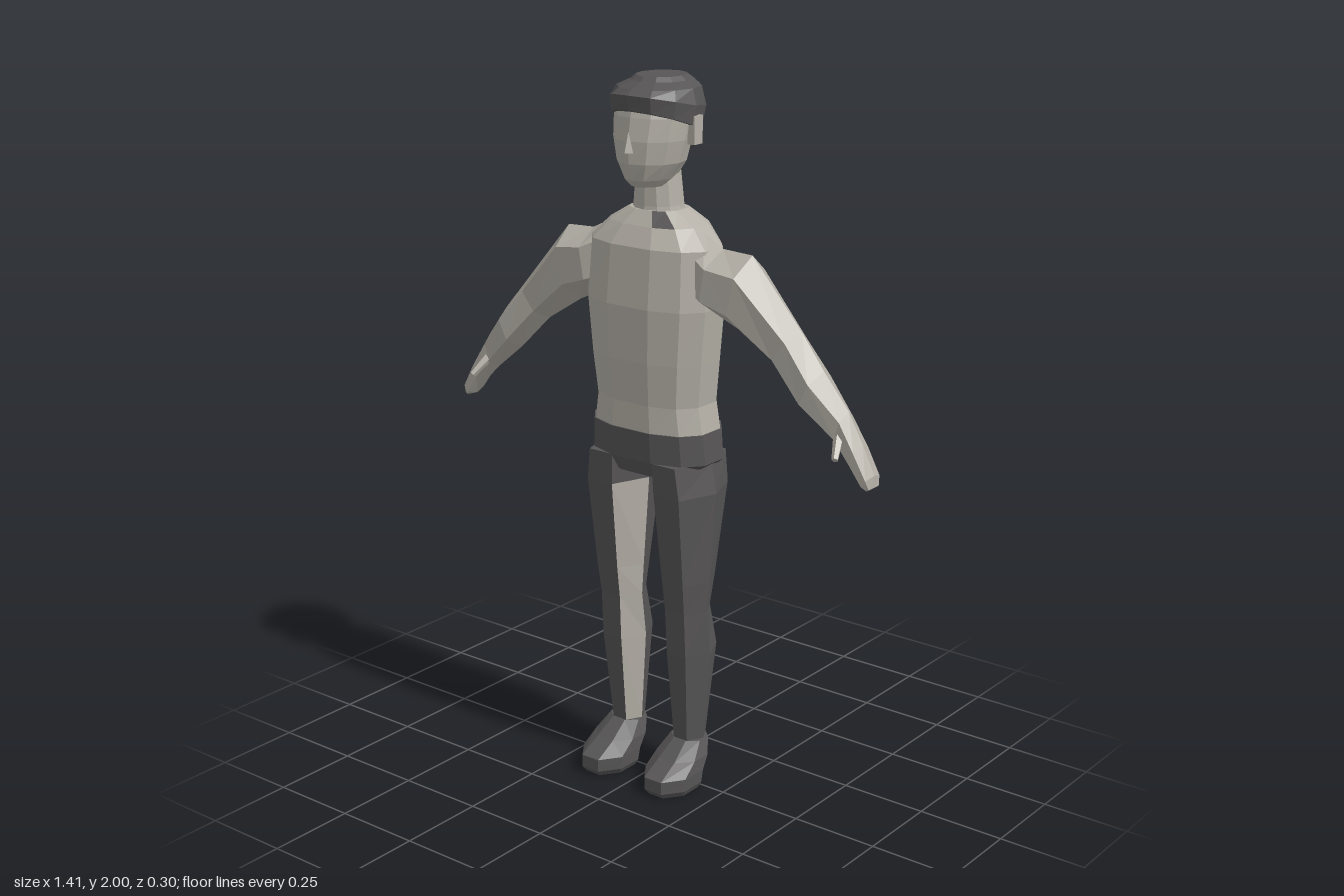
import * as THREE from 'three';

const material = (name, color) => {
  const m = new THREE.MeshStandardMaterial({ color, flatShading: true });
  m.name = name;
  return m;
};

// Unit outline with n corners, stretched to reach 1 on both axes; power < 1 squares it off.
function outline(n, offset, power = 1) {
  const pts = [];
  const bend = (v) => Math.sign(v) * Math.abs(v) ** power;
  for (let j = 0; j < n; j++) {
    const a = offset + (j / n) * Math.PI * 2;
    pts.push([bend(Math.sin(a)), bend(Math.cos(a))]);
  }
  const mx = Math.max(...pts.map((p) => Math.abs(p[0])));
  const mz = Math.max(...pts.map((p) => Math.abs(p[1])));
  return pts.map(([x, z]) => [x / mx, z / mz]);
}

// Level cross-sections from rows of [y, xMin, xMax, zFront, zBack].
const levelRings = (rows, shape, yShift = () => 0) => rows.map(([y, x0, x1, zf, zb], i) =>
  shape.map(([u, v]) => [(x0 + x1) / 2 + (u * (x1 - x0)) / 2, y + yShift(i, v), (zf + zb) / 2 + (v * (zf - zb)) / 2]));

// Sections symmetric about x = 0, from rows of [y, halfWidth, zFront, zBack].
const bodyRings = (rows, shape, yShift) =>
  levelRings(rows.map(([y, r, zf, zb]) => [y, -r, r, zf, zb]), shape, yShift);

// Closed skin over the rings; paint(ring, facet) picks a material, side -1 mirrors in x.
function loft(name, rings, mats, paint = () => 0, side = 1) {
  const lists = mats.map(() => []);
  const tri = (k, a, b, c) => {
    for (const p of side > 0 ? [a, b, c] : [a, c, b]) lists[k].push(p[0] * side, p[1], p[2]);
  };
  const n = rings[0].length;
  const middle = (ring) => [0, 1, 2].map((k) => ring.reduce((s, p) => s + p[k], 0) / n);
  const last = rings.length - 1;
  const bottom = middle(rings[0]), top = middle(rings[last]);
  for (let j = 0; j < n; j++) {
    const j1 = (j + 1) % n;
    for (let i = 0; i < last; i++) {
      const k = paint(i, j);
      tri(k, rings[i][j], rings[i][j1], rings[i + 1][j1]);
      tri(k, rings[i][j], rings[i + 1][j1], rings[i + 1][j]);
    }
    tri(0, bottom, rings[0][j1], rings[0][j]);
    tri(0, top, rings[last][j], rings[last][j1]);
  }
  const g = new THREE.BufferGeometry();
  g.setAttribute('position', new THREE.Float32BufferAttribute(lists.flat(), 3));
  let start = 0;
  lists.forEach((l, k) => {
    g.addGroup(start, l.length / 3, k);
    start += l.length / 3;
  });
  g.computeVertexNormals();
  const mesh = new THREE.Mesh(g, mats.length > 1 ? mats : mats[0]);
  mesh.name = name;
  return mesh;
}

export function createModel() {
  const light = material('light grey', 0xb3afa6);
  const dark = material('dark grey', 0x575555);
  const model = new THREE.Group();
  model.name = 'figure';
  const deg = Math.PI / 180;
  const trunk = outline(12, 15 * deg, 0.8);
  const round = outline(12, 0);

  // Shirt, with a small dark patch beside the collar
  model.add(loft('shirt', bodyRings([
    [1.05, 0.185, 0.1, -0.135], [1.13, 0.172, 0.1, -0.13], [1.25, 0.185, 0.11, -0.13],
    [1.4, 0.2, 0.115, -0.13], [1.56, 0.192, 0.1, -0.125], [1.612, 0.14, 0.07, -0.12],
    [1.65, 0.078, 0.042, -0.09],
  ], trunk), [light, dark], (i, j) => (i === 5 && j === 0 ? 1 : 0)));

  // Hips
  model.add(loft('hips', bodyRings([
    [0.905, 0.05, 0.03, -0.07], [0.925, 0.14, 0.08, -0.125],
    [0.97, 0.194, 0.1, -0.138], [1.055, 0.188, 0.104, -0.139],
  ], trunk), [dark]));

  // Neck and head
  model.add(loft('neck', bodyRings([
    [1.62, 0.08, 0.045, -0.09], [1.66, 0.071, 0.04, -0.085], [1.76, 0.06, 0.04, -0.08],
  ], round), [light]));
  model.add(loft('head', bodyRings([
    [1.715, 0.045, 0.075, -0.05], [1.735, 0.062, 0.094, -0.07], [1.78, 0.092, 0.106, -0.088],
    [1.84, 0.106, 0.108, -0.1], [1.9, 0.112, 0.098, -0.11], [1.95, 0.1, 0.085, -0.11],
  ], round), [light]));
  const nose = new THREE.Mesh(new THREE.ConeGeometry(0.016, 0.055, 4), light);
  nose.name = 'nose';
  nose.position.set(0, 1.838, 0.106);
  model.add(nose);

  // Hair, lower at the back, with a pale crescent at the crown
  const sweep = [[0.02, -0.1], [0.015, -0.03], [0, 0], [0, 0], [0, 0]];
  model.add(loft('hair', bodyRings([
    [1.88, 0.12, 0.104, -0.125], [1.93, 0.126, 0.113, -0.15], [1.972, 0.112, 0.092, -0.138],
    [1.988, 0.08, 0.055, -0.125], [2.0, 0.066, 0.04, -0.107],
  ], round, (i, v) => (v > 0 ? sweep[i][0] * v * 2 : sweep[i][1] * v * v)),
  [dark, light], (i, j) => (i === 3 && j >= 6 && j <= 8 ? 1 : 0)));

  const limb = outline(6, 30 * deg);
  const armShape = outline(6, 0);
  for (const side of [1, -1]) {
    const tag = side > 0 ? 'left' : 'right';

    // Ear
    const ear = new THREE.Mesh(new THREE.BoxGeometry(0.022, 0.075, 0.036), light);
    ear.name = tag + 'Ear';
    ear.position.set(side * 0.114, 1.865, -0.03);
    model.add(ear);

    // Arm and hand: [xTop, yTop, xBottom, yBottom, z, halfDepth]
    const arm = [
      [0.15, 1.6, 0.15, 1.4, -0.02, 0.06], [0.22, 1.565, 0.19, 1.39, -0.015, 0.075],
      [0.312, 1.56, 0.27, 1.355, -0.018, 0.07], [0.47, 1.38, 0.39, 1.28, -0.02, 0.048],
      [0.545, 1.29, 0.49, 1.18, -0.014, 0.054], [0.62, 1.195, 0.59, 1.1, -0.02, 0.034],
      [0.665, 1.115, 0.64, 1.05, -0.02, 0.036], [0.703, 1.04, 0.678, 1.005, -0.02, 0.034],
      [0.705, 1.008, 0.692, 1.0, -0.02, 0.024],
    ].map(([xt, yt, xb, yb, z, d]) => armShape.map(([u, v]) =>
      [(xt + xb) / 2 + (v * (xt - xb)) / 2, (yt + yb) / 2 + (v * (yt - yb)) / 2, z + u * d]));
    model.add(loft(tag + 'Arm', arm, [light], undefined, side));

    // Thumb
    const from = new THREE.Vector3(side * 0.605, 1.135, 0.0);
    const to = new THREE.Vector3(side * 0.628, 1.085, 0.052);
    const thumb = new THREE.Mesh(new THREE.CylinderGeometry(0.009, 0.015, from.distanceTo(to), 5), light);
    thumb.name = tag + 'Thumb';
    thumb.position.copy(from).lerp(to, 0.5);
    thumb.quaternion.setFromUnitVectors(new THREE.Vector3(0, 1, 0), to.clone().sub(from).normalize());
    model.add(thumb);

    // Trouser leg with a pale inner front panel
    model.add(loft(tag + 'Leg', levelRings([
      [0.11, 0.066, 0.155, 0.017, -0.068], [0.13, 0.064, 0.157, 0.018, -0.07],
      [0.4, 0.05, 0.18, 0.045, -0.1], [0.53, 0.048, 0.18, 0.052, -0.068],
      [0.62, 0.044, 0.187, 0.064, -0.085], [0.88, 0.03, 0.202, 0.094, -0.13],
      [0.97, 0.03, 0.187, 0.098, -0.134],
    ], limb), [dark, light], (i, j) => (i < 5 && j === 4 ? 1 : 0), side));

    // Shoe
    model.add(loft(tag + 'Shoe', levelRings([
      [0, 0.055, 0.175, 0.135, -0.03], [0.018, 0.045, 0.184, 0.15, -0.04],
      [0.055, 0.043, 0.185, 0.15, -0.05], [0.09, 0.045, 0.18, 0.085, -0.062],
      [0.132, 0.06, 0.162, 0.022, -0.072],
    ], outline(8, 22.5 * deg)), [dark], undefined, side));
  }
  return model;
}
